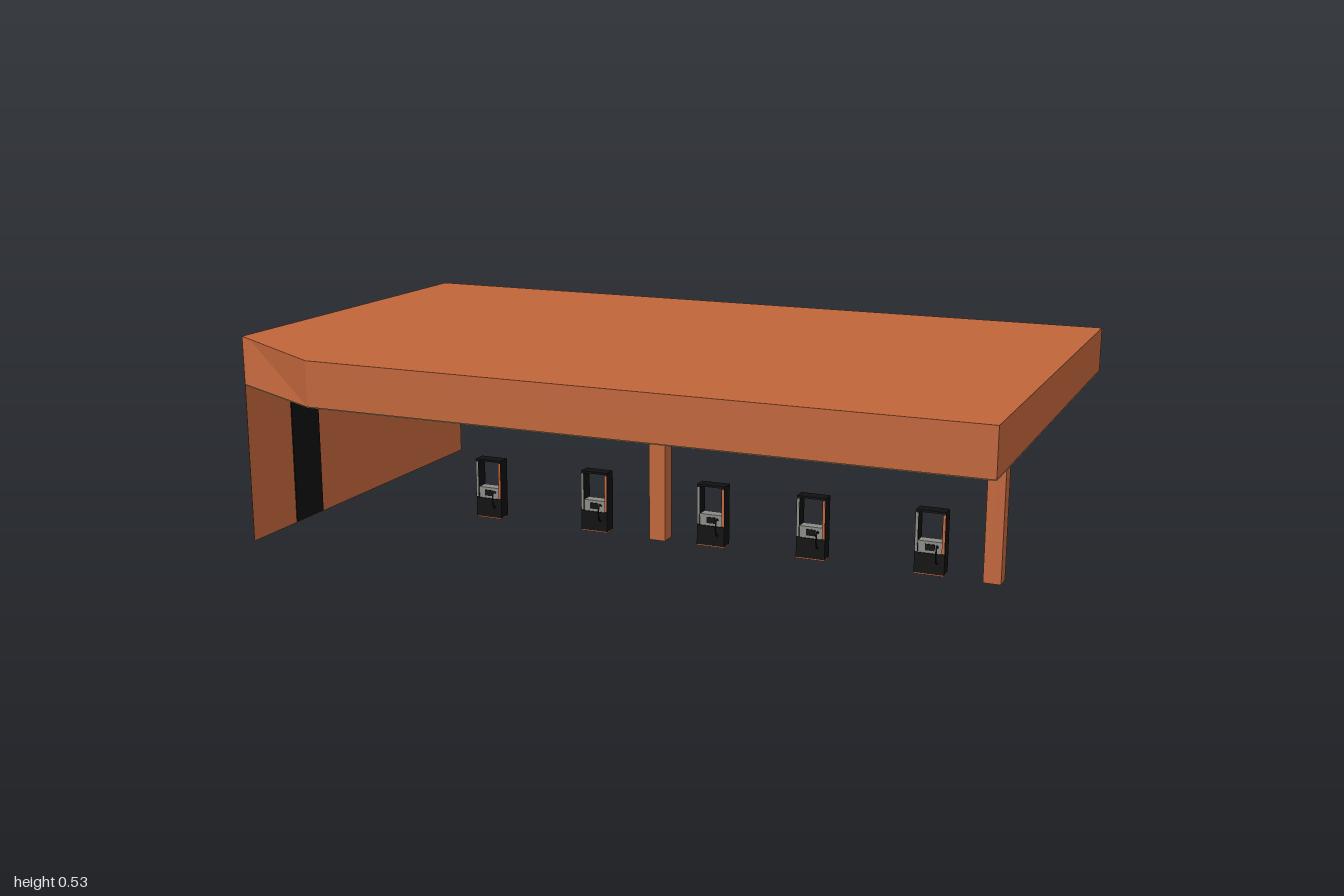
import * as THREE from 'three';

const mat = (color) => new THREE.MeshStandardMaterial({ color, side: THREE.DoubleSide });

export function createModel() {
  const model = new THREE.Group();
  const orange = mat(0xc0653a), black = mat(0x101010), grey = mat(0x8a8a86), olive = mat(0xa49573);
  const roofTop = 0.53, roofBottom = 0.417;

  const add = (parent, name, geometry, material) => {
    const mesh = new THREE.Mesh(geometry, material);
    mesh.name = name;
    parent.add(mesh);
    return mesh;
  };
  // Box given by its lower and upper corners
  const box = (parent, name, material, [x0, y0, z0], [x1, y1, z1]) => {
    const mesh = add(parent, name, new THREE.BoxGeometry(x1 - x0, y1 - y0, z1 - z0), material);
    mesh.position.set((x0 + x1) / 2, (y0 + y1) / 2, (z0 + z1) / 2);
    return mesh;
  };
  // Plan outlines are drawn as (x, z) and extruded downwards
  const plan = (points) => new THREE.Shape(points.map(([x, z]) => new THREE.Vector2(x, z)));
  const slab = (shape, top, bottom) =>
    new THREE.ExtrudeGeometry(shape, { depth: top - bottom, bevelEnabled: false })
      .rotateX(Math.PI / 2).translate(0, top, 0);

  // Canopy with a cut corner that swells slightly at its lower edge
  const outline = plan([[-1, -0.61], [1, -0.61], [1, 0.605], [-0.66, 0.605], [-0.96, 0.45], [-1, 0.4]]);
  const canopy = slab(outline, roofTop, roofBottom);
  const p = canopy.attributes.position;
  for (let i = 0; i < p.count; i++) {
    if (p.getY(i) > roofTop - 0.01 && Math.abs(p.getX(i) + 0.96) < 0.001) p.setZ(i, 0.424);
  }
  canopy.computeVertexNormals();
  add(model, 'canopy', canopy, orange);
  add(model, 'ceiling', new THREE.ShapeGeometry(outline).rotateX(Math.PI / 2), olive)
    .position.y = roofBottom - 0.002;

  // Side wall with a slanted front end, and the door on its inner face
  const wall = plan([[-1, -0.61], [-0.96, -0.61], [-0.96, 0.45], [-1, 0.4]]);
  add(model, 'sideWall', slab(wall, roofBottom, 0), orange);
  box(model, 'door', black, [-0.962, 0.003, 0.145], [-0.957, 0.415, 0.265]);

  // Posts
  for (const x of [-0.003, 0.877]) {
    box(model, 'post', orange, [x - 0.022, 0, -0.021], [x + 0.022, roofBottom, 0.023]);
  }

  // Fuel pumps: solid base, sloped control panel, open window frame and hose
  for (const x of [-0.505, -0.187, 0.145, 0.415, 0.72]) {
    const pump = new THREE.Group();
    pump.name = 'fuelPump';
    pump.position.x = x;
    box(pump, 'pumpBase', black, [-0.038, 0.003, -0.018], [0.038, 0.055, 0.018]);
    box(pump, 'pumpFoot', orange, [-0.038, 0, -0.018], [0.038, 0.003, 0.018]);
    box(pump, 'controlPanel', grey, [-0.03, 0.055, -0.015], [0.03, 0.085, 0.015]);
    box(pump, 'display', black, [-0.012, 0.062, 0.015], [0.012, 0.078, 0.017]);
    box(pump, 'pumpTop', black, [-0.038, 0.158, -0.018], [0.038, 0.163, 0.018]);
    for (const s of [-1, 1]) {
      const side = box(pump, 'pumpSide', black, [-0.004, 0.055, -0.018], [0.004, 0.158, 0.018]);
      side.position.x = s * 0.034;
      const trim = box(pump, 'sideTrim', s < 0 ? grey : orange, [-0.003, 0.058, 0.018], [0.003, 0.156, 0.019]);
      trim.position.x = s * 0.034;
    }
    const hosePath = new THREE.CatmullRomCurve3([
      [0.02, 0.072, 0.016], [0.02, 0.078, 0.026], [0.02, 0.06, 0.034], [0.02, 0.036, 0.028], [0.02, 0.032, 0.016],
    ].map((c) => new THREE.Vector3(...c)));
    add(pump, 'hose', new THREE.TubeGeometry(hosePath, 14, 0.002, 6), black);
    model.add(pump);
  }
  return model;
}
